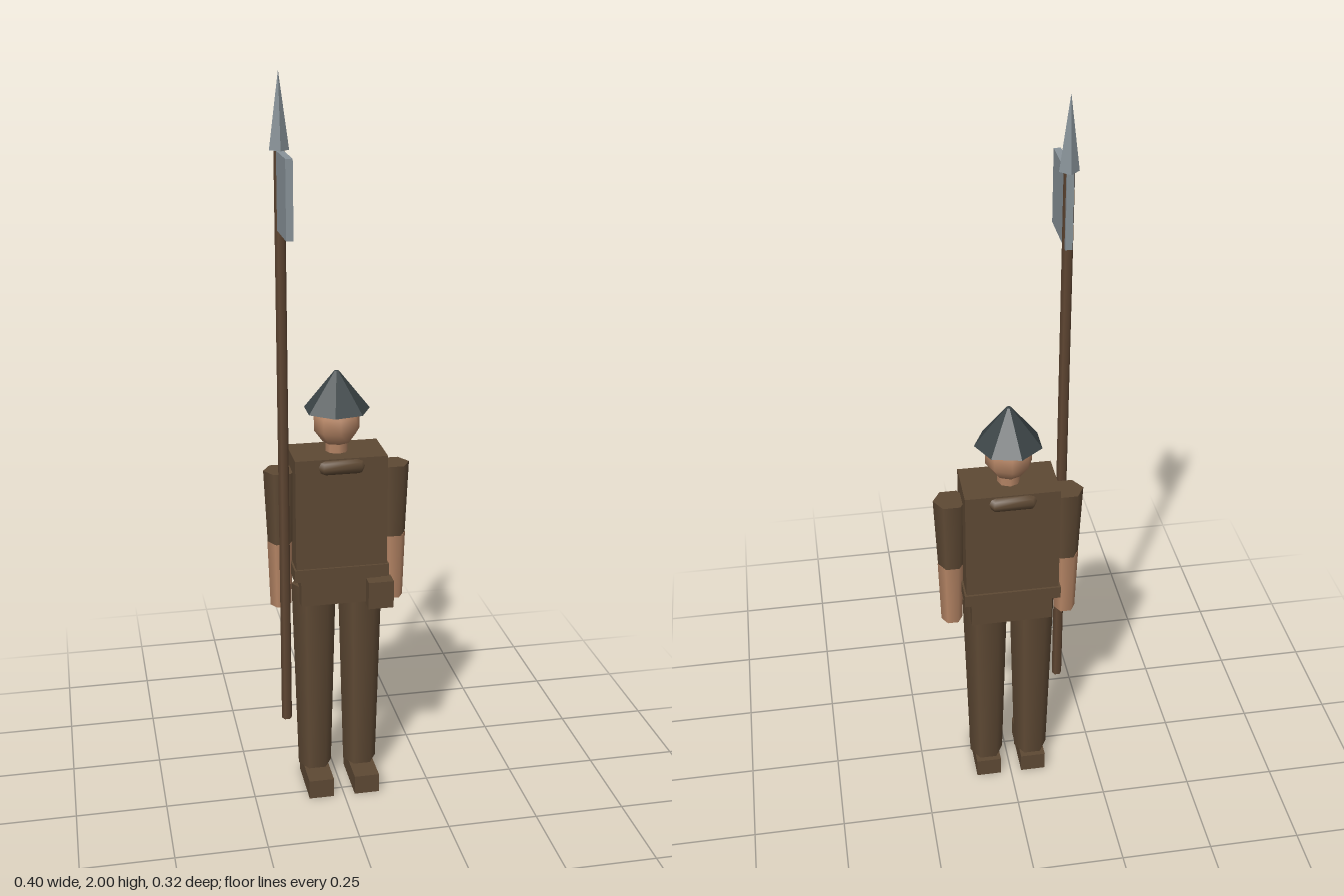
import * as THREE from 'three';

export function createModel() {
  const model = new THREE.Group();
  model.name = 'guard';
  const mat = (name, color) => {
    const m = new THREE.MeshStandardMaterial({ color });
    m.name = name;
    return m;
  };
  const cloth = mat('brown cloth', 0x5e4934);
  const wood = mat('brown wood', 0x5f4632);
  const skin = mat('skin', 0xb48464);
  const steel = mat('light steel', 0x8a949a);
  const iron = mat('dark iron', 0x3c4547);

  const BODY_Z = -0.07;

  const add = (name, geometry, material, x, y, z) => {
    const mesh = new THREE.Mesh(geometry, material);
    mesh.name = name;
    mesh.position.set(x, y, z);
    model.add(mesh);
    return mesh;
  };
  // Box given by its extents
  const box = (name, material, [x0, x1], [y0, y1], [z0, z1]) =>
    add(name, new THREE.BoxGeometry(x1 - x0, y1 - y0, z1 - z0), material,
      (x0 + x1) / 2, (y0 + y1) / 2, (z0 + z1) / 2);
  // Tapered prism with a corner pointing to +x
  const prism = (name, material, x, z, y0, y1, r0, r1, sides = 6, faceted = false) => {
    let g = new THREE.CylinderGeometry(r1, r0, y1 - y0, sides).rotateY(Math.PI / 2);
    if (faceted) {
      g = g.toNonIndexed();
      g.computeVertexNormals();
    }
    return add(name, g, material, x, (y0 + y1) / 2, z);
  };

  // Torso, belt and hips
  box('torso', cloth, [-0.125, 0.125], [0.655, 1.0], [-0.142, 0.002]);
  box('belt', cloth, [-0.13, 0.13], [0.655, 0.69], [-0.148, 0.008]);
  box('hips', cloth, [-0.11, 0.11], [0.575, 0.655], [-0.13, -0.01]);
  box('pouch', cloth, [0.07, 0.14], [0.567, 0.645], [-0.02, 0.025]);

  // Rolled collar, showing through the chest and back
  add('collar', new THREE.TorusGeometry(0.084, 0.02, 8, 6).rotateX(Math.PI / 2),
    cloth, 0, 0.977, BODY_Z);

  // Limbs, mirrored
  for (const [side, s] of [['left', 1], ['right', -1]]) {
    prism(side + 'UpperArm', cloth, s * 0.155, BODY_Z, 0.75, 0.955, 0.036, 0.045);
    prism(side + 'Forearm', skin, s * 0.157, BODY_Z, 0.562, 0.75, 0.029, 0.035);
    prism(side + 'Leg', cloth, s * 0.065, BODY_Z, 0.055, 0.62, 0.047, 0.062);
    const x = s * 0.065;
    box(side + 'Foot', cloth, [x - 0.035, x + 0.035], [0, 0.055], [-0.125, 0.04]);
  }

  // Neck, head and conical helmet
  prism('neck', skin, 0, BODY_Z, 0.99, 1.04, 0.03, 0.03, 8);
  add('head', new THREE.SphereGeometry(0.065, 8, 5), skin, 0, 1.08, BODY_Z);
  prism('helmet', iron, 0, BODY_Z, 1.115, 1.222, 0.09, 0.006, 7, true);

  // Polearm
  const px = -0.157, pz = 0.008;
  prism('pole', wood, px, pz, 0.25, 1.81, 0.014, 0.014);
  prism('spearTip', steel, px, pz, 1.81, 2.0, 0.025, 0, 4, true);
  box('axeBlade', steel, [px - 0.009, px + 0.009], [1.615, 1.81], [-0.01, 0.157]);
  // Front of the pole hidden by the blade socket
  box('bladeSocket', steel, [px - 0.009, px + 0.009], [1.615, 1.81], [0.018, 0.024]);

  return model;
}
